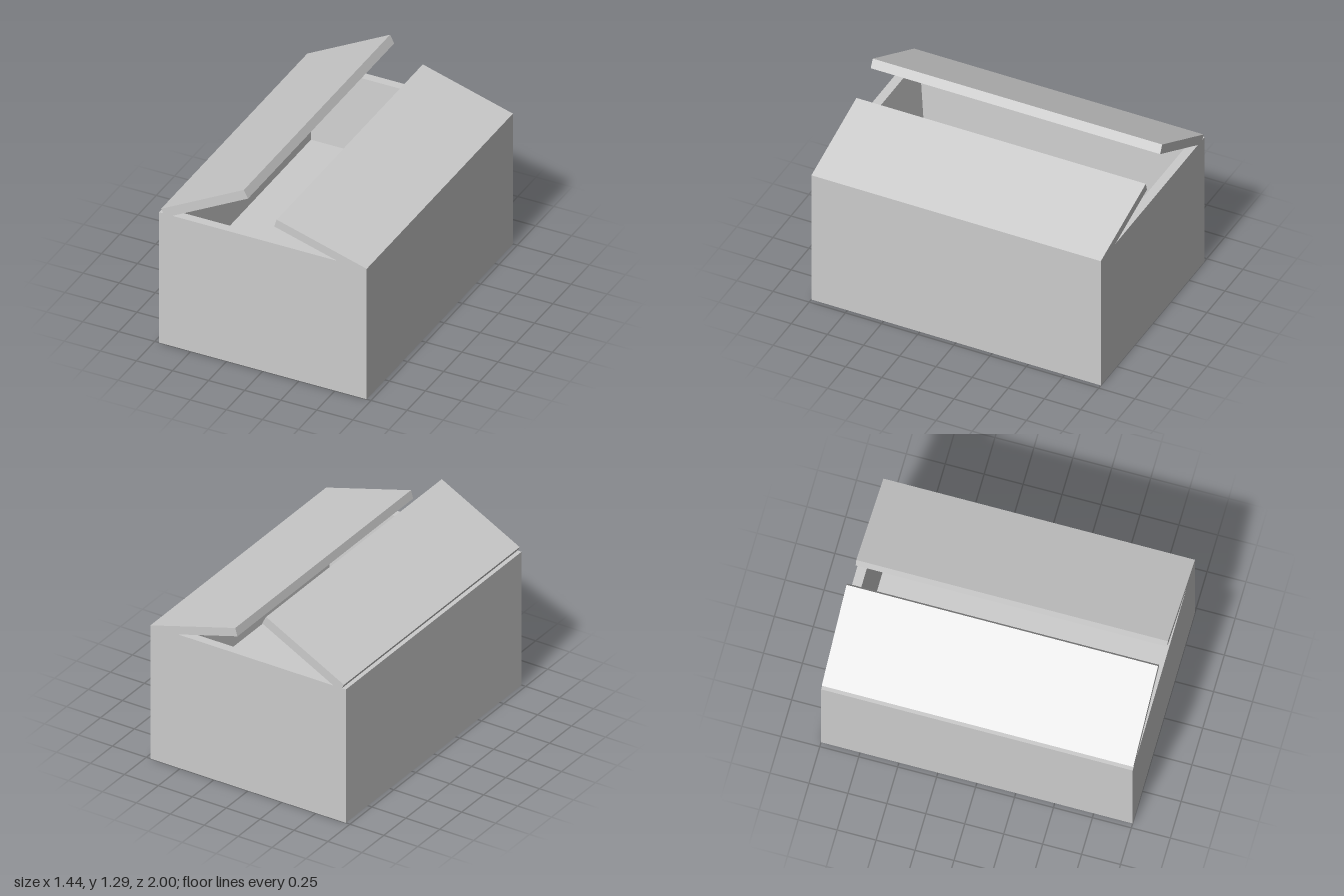
import * as THREE from 'three';

const material = new THREE.MeshStandardMaterial({ color: 0xcccccc, flatShading: true });

// Rectangle [halfWidth, y, halfDepth] as four corners, counter-clockwise from above
function ring([hx, y, hz]) {
  return [[1, 1], [1, -1], [-1, -1], [-1, 1]].map(([sx, sz]) => [sx * hx, y, sz * hz]);
}

// Joins consecutive rectangles with quads and closes both ends
function loftRings(sections) {
  const rings = sections.map(ring);
  const positions = [];
  const quad = (a, b, c, d) => positions.push(...a, ...b, ...c, ...a, ...c, ...d);
  for (let r = 0; r < rings.length - 1; r++) {
    for (let i = 0; i < 4; i++) {
      const j = (i + 1) % 4;
      quad(rings[r][i], rings[r][j], rings[r + 1][j], rings[r + 1][i]);
    }
  }
  quad(...[...rings[0]].reverse());
  quad(...rings[rings.length - 1]);
  const geometry = new THREE.BufferGeometry();
  geometry.setAttribute('position', new THREE.Float32BufferAttribute(positions, 3));
  geometry.computeVertexNormals();
  return geometry;
}

// Flat plate along z, with its four-cornered end profile in x and y
function flap(name, profile) {
  const shape = new THREE.Shape(profile.map(([x, y]) => new THREE.Vector2(x, y)));
  const geometry = new THREE.ExtrudeGeometry(shape, { depth: 2, bevelEnabled: false });
  geometry.translate(0, 0, -1);
  const mesh = new THREE.Mesh(geometry, material);
  mesh.name = name;
  return mesh;
}

export function createModel() {
  const group = new THREE.Group();
  group.name = 'openBox';

  // Box: outer walls, rim, then the tapered cavity down to its floor
  const body = new THREE.Mesh(loftRings([
    [0.72, 0, 1],
    [0.72, 0.957, 1],
    [0.66, 0.957, 0.94],
    [0.625, 0.44, 0.89],
  ]), material);
  body.name = 'boxBody';
  group.add(body);

  // Two half-open lid flaps, hinged on the long walls
  group.add(flap('rightFlap', [[-0.677, 0.931], [-0.103, 1.235], [-0.132, 1.29], [-0.706, 0.986]]));
  group.add(flap('leftFlap', [[0.704, 0.903], [0.72, 0.957], [0.095, 1.138], [0.079, 1.083]]));

  return group;
}
